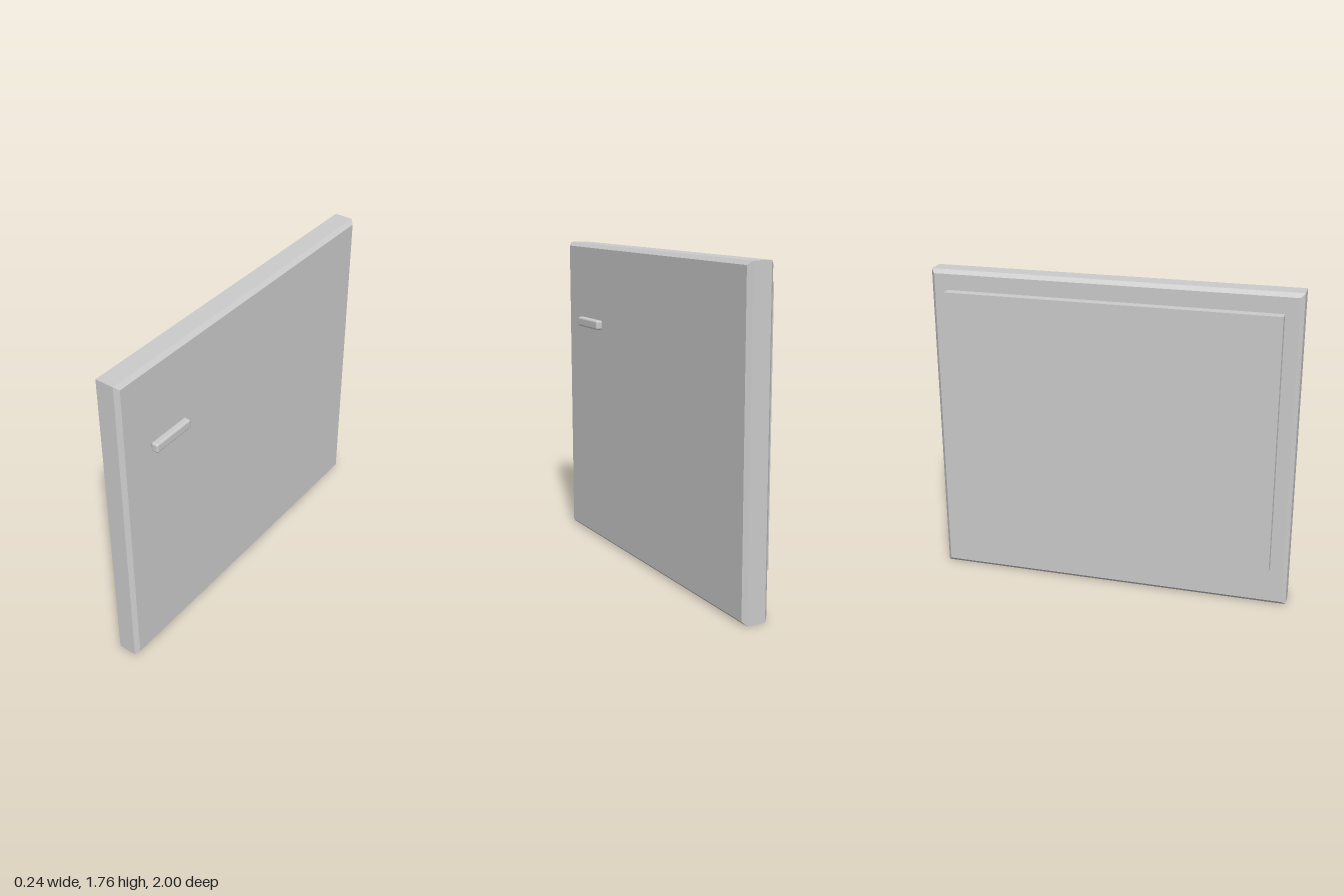
import * as THREE from 'three';
import { RoundedBoxGeometry } from 'three/addons/geometries/RoundedBoxGeometry.js';

const material = new THREE.MeshStandardMaterial({ color: 0xcccccc });

function addPart(group, name, geometry, x, y, z) {
  const mesh = new THREE.Mesh(geometry, material);
  mesh.name = name;
  mesh.position.set(x, y, z);
  group.add(mesh);
}

// Slab with its thickness along x; the rims of both broad faces are chamfered.
function chamferedSlab(thickness, height, length, chamfer) {
  const w = length / 2 - chamfer;
  const h = height / 2 - chamfer;
  const outline = new THREE.Shape([
    new THREE.Vector2(-w, -h), new THREE.Vector2(w, -h),
    new THREE.Vector2(w, h), new THREE.Vector2(-w, h),
  ]);
  const geometry = new THREE.ExtrudeGeometry(outline, {
    depth: thickness - 2 * chamfer,
    bevelSize: chamfer,
    bevelThickness: chamfer,
    bevelSegments: 1,
  });
  return geometry.center().rotateY(Math.PI / 2);
}

export function createModel() {
  const door = new THREE.Group();
  door.name = 'door';

  // Main slab, standing on the ground
  addPart(door, 'doorPanel', chamferedSlab(0.145, 1.764, 2, 0.021), 0.0075, 0.882, 0);

  // Raised plate on the inner face, sunk slightly into the slab
  addPart(door, 'innerPlate', new THREE.BoxGeometry(0.08, 1.43, 1.814), -0.081, 0.941, 0);

  // Handle bar on the outer face
  addPart(door, 'handle', new RoundedBoxGeometry(0.042, 0.054, 0.26, 2, 0.012), 0.0985, 1.305, 0.665);

  return door;
}
